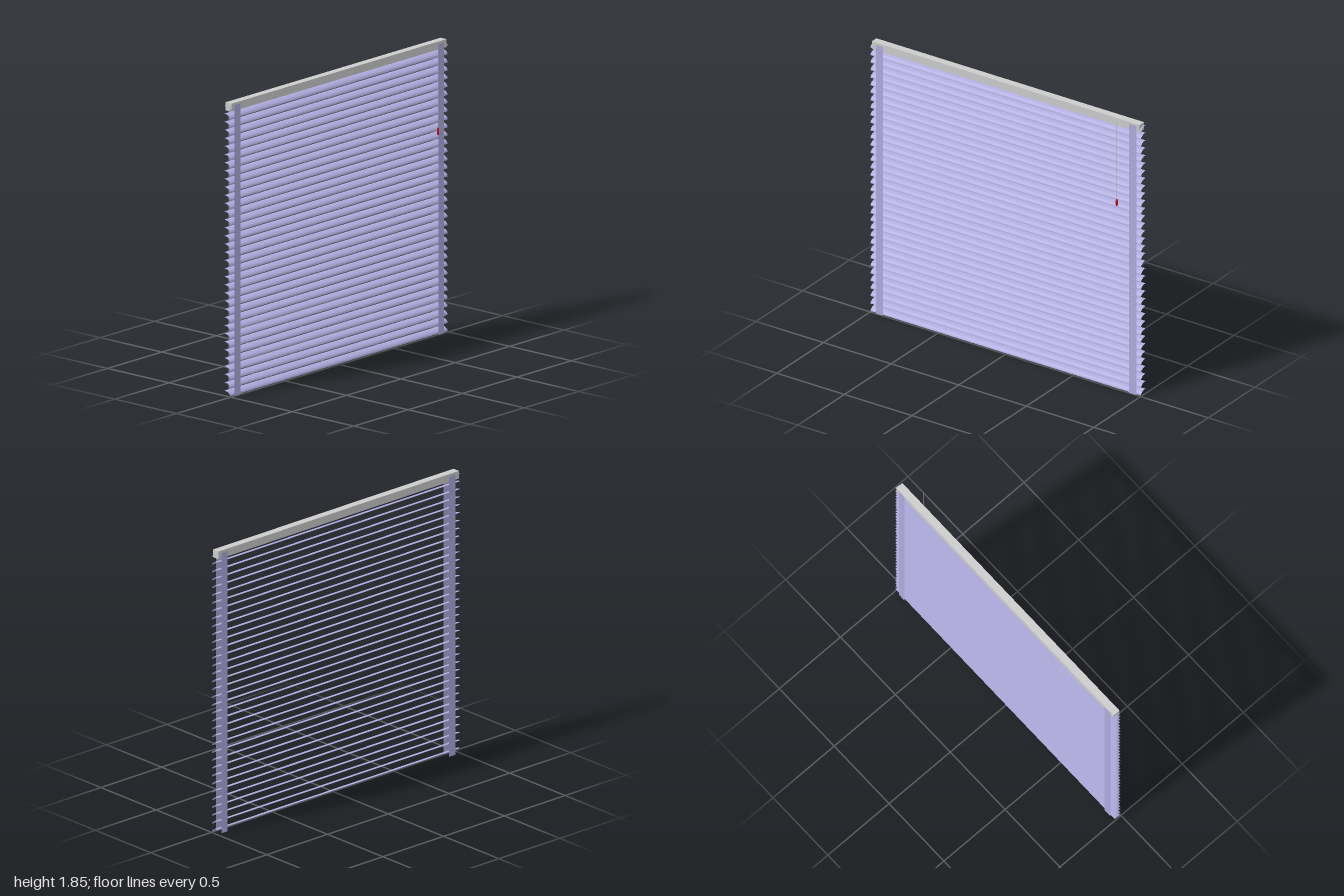
import * as THREE from 'three';

const mat = (color) => new THREE.MeshStandardMaterial({ color, side: THREE.DoubleSide });

export function createModel() {
  const group = new THREE.Group();
  const grey = mat(0xcccccc), lavender = mat(0xaeaadc), red = mat(0xb01010);
  const front = -0.003, back = -0.052, depth = front - back;
  const add = (name, geometry, material, x = 0, y = 0, z = 0) => {
    const mesh = new THREE.Mesh(geometry, material);
    mesh.name = name;
    mesh.position.set(x, y, z);
    group.add(mesh);
    return mesh;
  };

  // Head rail
  add('headRail', new THREE.BoxGeometry(1.98, 0.05, depth), grey, 0, 1.825, (front + back) / 2);

  // Curved slat: low at the front, rising in a quarter arc to the back
  const slat = new THREE.PlaneGeometry(2, 1, 1, 8);
  const pos = slat.attributes.position;
  for (let i = 0; i < pos.count; i++) {
    const a = (pos.getY(i) + 0.5) * Math.PI / 2;
    pos.setY(i, 0.028 * Math.sin(a));
    pos.setZ(i, front - depth * (1 - Math.cos(a)));
  }
  slat.computeVertexNormals();
  for (let i = 0; i < 36; i++) add('slat', slat, lavender, 0, 0.005 + i * 0.0514, 0);

  // Ladder tapes, one strip in front and one behind at each end
  const tape = new THREE.PlaneGeometry(0.052, 1.835);
  for (const x of [-0.934, 0.94]) {
    add('frontTape', tape, lavender, x, 0.9175, front + 0.0005);
    add('backTape', tape, lavender, x, 0.9175, back - 0.0005).rotation.y = Math.PI;
  }

  // Pull cord and its tassel
  const cordX = 0.855, cordZ = 0.046;
  add('pullCord', new THREE.CylinderGeometry(0.0015, 0.0015, 0.53, 6), grey, cordX, 1.585, cordZ);
  const profile = [[0, 0], [0.004, 0], [0.0075, 0.012], [0.0075, 0.03], [0.004, 0.046], [0, 0.046]]
    .map(([r, y]) => new THREE.Vector2(r, y));
  add('cordTassel', new THREE.LatheGeometry(profile, 12), red, cordX, 1.281, cordZ);

  return group;
}
